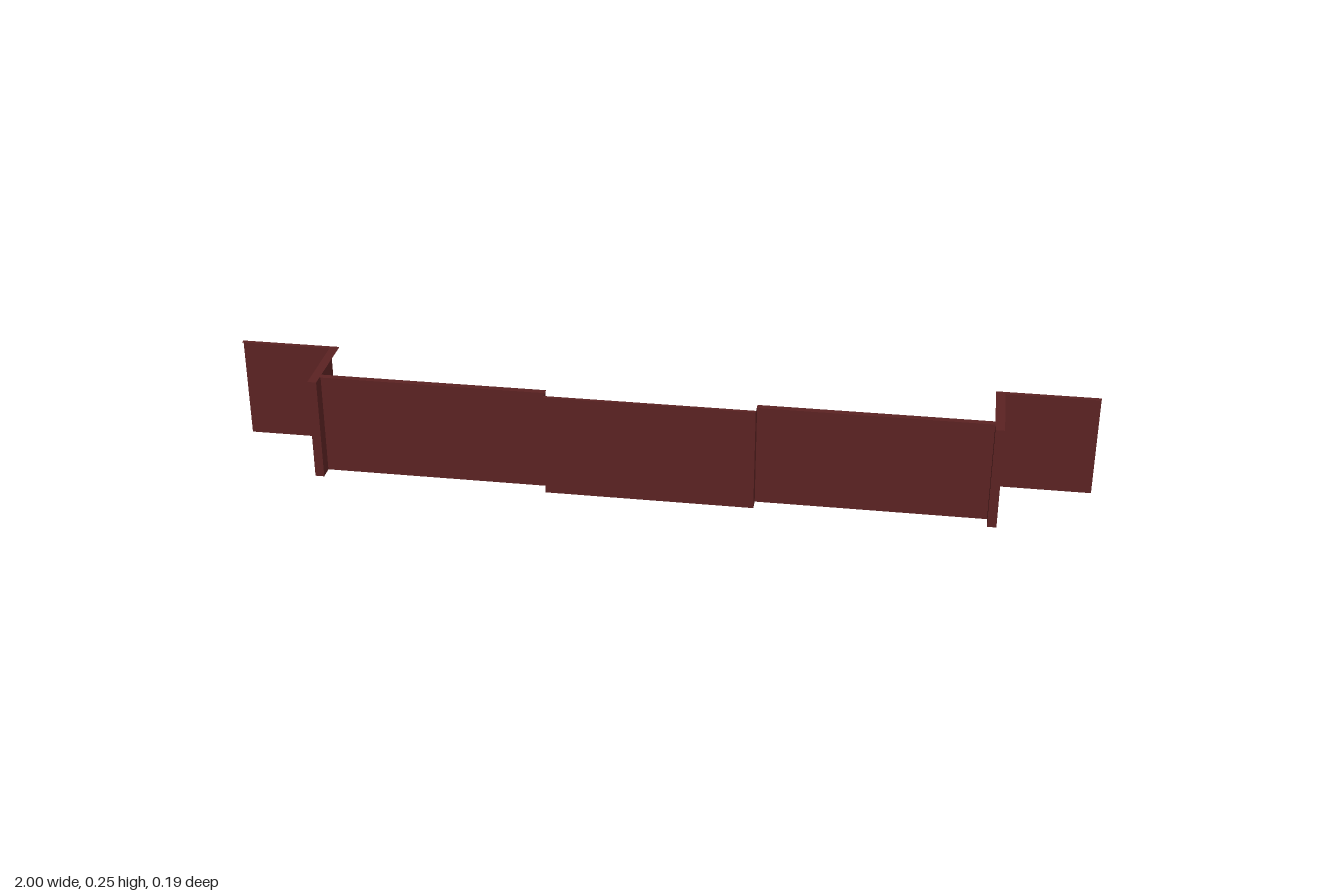
import * as THREE from 'three';

const H = 0.245;

export function createModel() {
  const model = new THREE.Group();
  model.name = 'steppedWall';
  const maroon = new THREE.MeshStandardMaterial({ color: 0x5c2323, side: THREE.DoubleSide });
  maroon.name = 'maroon';

  // Upright sheet between two plan points (x, z)
  function sheet(name, x0, z0, x1, z1) {
    const mesh = new THREE.Mesh(new THREE.PlaneGeometry(Math.hypot(x1 - x0, z1 - z0), H), maroon);
    mesh.position.set((x0 + x1) / 2, H / 2, (z0 + z1) / 2);
    mesh.rotation.y = -Math.atan2(z1 - z0, x1 - x0);
    mesh.name = name;
    model.add(mesh);
  }

  // Flat cap lying along the top edge
  function cap(name, x0, x1, z0, z1) {
    const geometry = new THREE.PlaneGeometry(Math.abs(x1 - x0), z1 - z0).rotateX(-Math.PI / 2);
    const mesh = new THREE.Mesh(geometry, maroon);
    mesh.position.set((x0 + x1) / 2, H, (z0 + z1) / 2);
    mesh.name = name;
    model.add(mesh);
  }

  // Middle panel, furthest forward
  sheet('centrePanel', -0.24, 0.09, 0.24, 0.09);
  cap('centreCap', -0.24, 0.24, 0.082, 0.09);

  // Mirrored halves: step, side panel, corner pier, end wing
  for (const [side, s] of [['left', 1], ['right', -1]]) {
    sheet(side + 'CentreStep', s * 0.24, 0.09, s * 0.24, 0.06);
    sheet(side + 'SidePanel', s * 0.24, 0.06, s * 0.765, 0.06);
    cap(side + 'SideCap', s * 0.24, s * 0.765, 0.053, 0.068);
    sheet(side + 'PierInner', s * 0.765, 0.06, s * 0.765, 0.094);
    sheet(side + 'PierFront', s * 0.765, 0.094, s * 0.786, 0.094);
    sheet(side + 'PierOuter', s * 0.786, 0.094, s * 0.786, -0.094);
    cap(side + 'PierCap', s * 0.765, s * 0.786, -0.094, 0.094);
    sheet(side + 'Wing', s * 0.786, -0.094, s, -0.094);
    cap(side + 'WingCap', s * 0.786, s, -0.094, -0.083);
  }
  return model;
}
